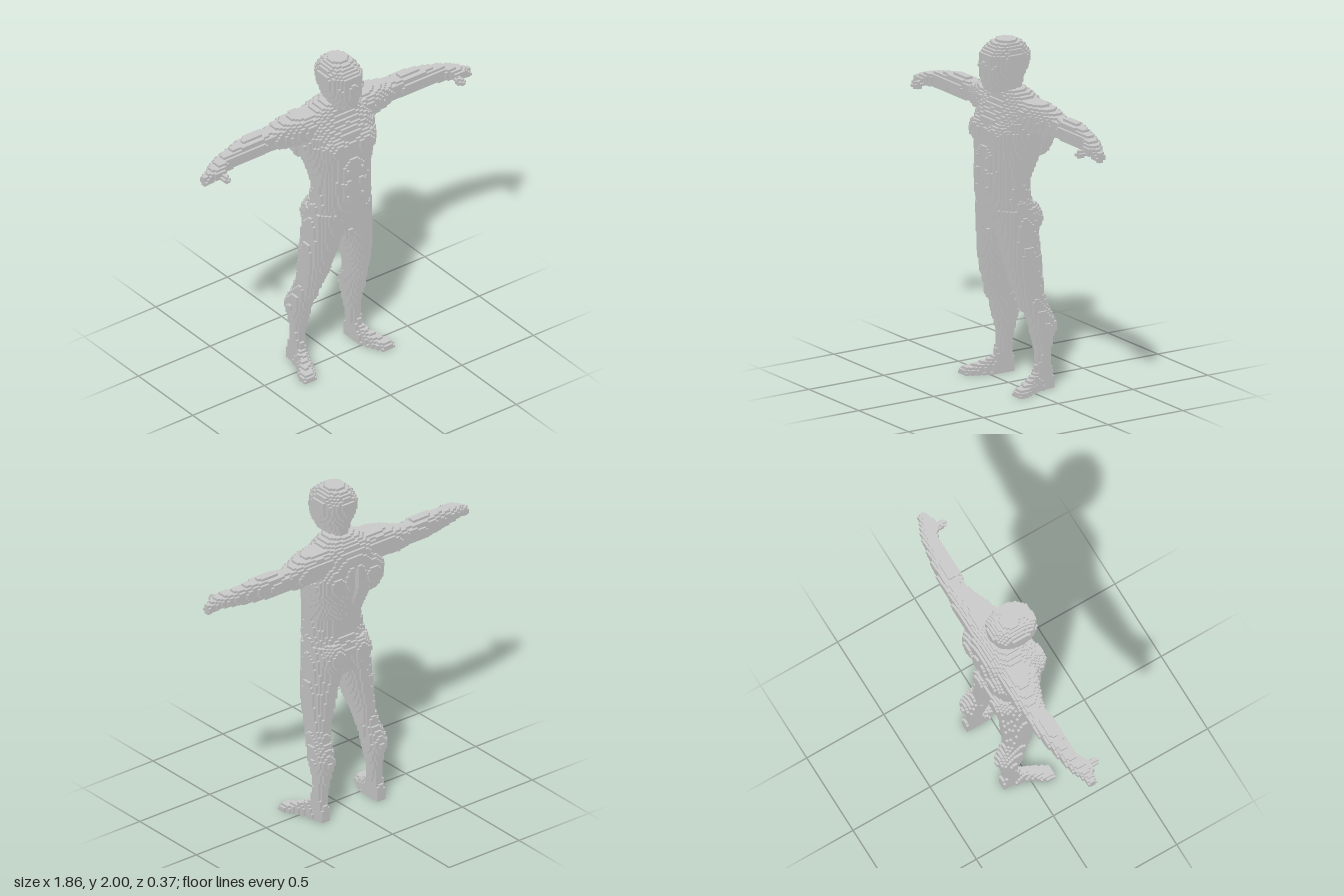
import * as THREE from 'three';

const S = 2 / 140;                 // cube size
const NX = 132, NY = 140, NZ = 28; // grid cells

// Row of a tapered body: [t, uMin, uMax, vMin, vMax], measured across its axis.
// Returns true when the point lies in the rounded section at t.
function inLoft(rows, n, t, u, v) {
  if (t < rows[0][0] || t > rows[rows.length - 1][0]) return false;
  let i = 1;
  while (rows[i][0] < t) i++;
  const a = rows[i - 1], b = rows[i], k = (t - a[0]) / (b[0] - a[0]);
  const m = (c) => a[c] + (b[c] - a[c]) * k;
  const u0 = m(1), u1 = m(2), v0 = m(3), v1 = m(4);
  const du = Math.abs(2 * u - u0 - u1) / (u1 - u0);
  const dv = Math.abs(2 * v - v0 - v1) / (v1 - v0);
  return du ** n + dv ** n <= 1;
}

const inBall = ([cx, cy, cz, rx, ry, rz], x, y, z) =>
  ((x - cx) / rx) ** 2 + ((y - cy) / ry) ** 2 + ((z - cz) / rz) ** 2 <= 1;

// Upright parts: y, x range, z range
const HEAD = [
  [1.66, -.065, .065, -.085, .065], [1.715, -.055, .055, -.075, .075],
  [1.72, -.055, .055, -.075, .15], [1.76, -.08, .08, -.075, .16],
  [1.8, -.098, .098, -.085, .168], [1.85, -.113, .113, -.108, .168],
  [1.92, -.113, .113, -.115, .162], [1.96, -.092, .092, -.09, .125],
  [1.985, -.07, .07, -.06, .09], [2, -.045, .045, -.03, .055],
];
const TORSO = [
  [.86, -.1, .1, -.1, .09], [.92, -.19, .19, -.12, .125],
  [1, -.19, .19, -.125, .14], [1.1, -.178, .178, -.09, .162],
  [1.2, -.165, .165, -.092, .175], [1.3, -.18, .18, -.135, .172],
  [1.4, -.212, .212, -.178, .165], [1.48, -.24, .24, -.185, .155],
  [1.55, -.235, .235, -.18, .14], [1.62, -.22, .22, -.165, .1],
  [1.66, -.18, .18, -.145, .078], [1.69, -.125, .125, -.115, .07],
  [1.72, -.06, .06, -.08, .065],
];
const LEG = [
  [0, .168, .228, -.15, -.02], [.1, .165, .235, -.146, -.04],
  [.2, .155, .225, -.146, -.06], [.28, .14, .232, -.16, -.045],
  [.36, .125, .252, -.182, -.025], [.42, .12, .248, -.16, -.012],
  [.48, .118, .228, -.135, .02], [.55, .105, .218, -.115, .05],
  [.65, .07, .216, -.112, .08], [.75, .042, .214, -.112, .1],
  [.85, .004, .206, -.108, .115], [.93, -.02, .2, -.115, .125],
  [1.04, -.02, .188, -.1, .14],
];
// Along x: y range, z range
const ARM = [
  [.14, 1.5, 1.675, -.14, .06], [.22, 1.5, 1.676, -.145, .055],
  [.29, 1.505, 1.665, -.145, .035], [.35, 1.5, 1.65, -.138, .01],
  [.42, 1.518, 1.625, -.132, -.01], [.5, 1.515, 1.638, -.126, -.005],
  [.6, 1.515, 1.638, -.118, -.005], [.7, 1.518, 1.622, -.095, 0],
  [.76, 1.522, 1.612, -.085, .008], [.8, 1.525, 1.6, -.075, .035],
  [.85, 1.522, 1.588, -.055, .045], [.89, 1.51, 1.568, -.035, .03],
  [.93, 1.495, 1.55, -.02, .02],
];
// Along z: x range, y range (lower half is cut off by the ground)
const FOOT = [
  [-.15, .168, .226, -.1, .1], [-.05, .168, .24, -.11, .11],
  [0, .18, .262, -.075, .075], [.06, .2, .305, -.052, .052],
  [.1, .22, .322, -.04, .04], [.135, .24, .305, -.03, .03],
];

// Muscles added to the torso: centre and radii
const BULGES = [
  [.09, 1.47, .09, .105, .085, .085],                 // chest
  [.045, 1.33, .135, .04, .035, .045], [.045, 1.25, .14, .04, .035, .045],
  [.045, 1.17, .135, .04, .035, .045],                // abdomen
  [.13, 1.47, -.1, .11, .13, .085],                   // shoulder blade
  [.085, .97, -.065, .09, .1, .083],                  // buttock
  [0, .89, .095, .035, .05, .045],                    // groin
];
// Grooves taken out of the torso
const GROOVES = [
  [0, 1.3, -.19, .022, .28, .07],                     // spine
  [0, .94, -.16, .014, .09, .05],
  [0, 1.35, .185, .01, .24, .025],                    // midline
  [.16, 1.3, .16, .025, .1, .035],                    // flank
];

const THUMB = [.818, 1.535, .06, .022, .018, .036];
const KNEE = [.17, .5, -.005, .035, .05, .045];

// Part index at a point, 0 when empty
function partAt(sx, y, z) {
  const x = Math.abs(sx), side = sx > 0 ? 0 : 1;
  if (inLoft(HEAD, 2.3, y, x, z)) return y > 1.715 ? 1 : 2;
  const groove = GROOVES.some((g) => inBall(g, x, y, z));
  if (!groove && (inLoft(TORSO, 2.3, y, x, z) || BULGES.some((b) => inBall(b, x, y, z)))) return 3;
  if (inLoft(ARM, 2.4, x, y, z)) return (x > .78 ? 6 : 4) + side;
  if (inBall(THUMB, x, y, z)) return 6 + side;
  if (inLoft(FOOT, 2.6, z, x, y)) return 10 + side;
  if (!groove && inLoft(LEG, 2.3, y, x, z)) return 8 + side;
  if (inBall(KNEE, x, y, z)) return 8 + side;
  return 0;
}

const NAMES = ['', 'head', 'neck', 'torso', 'leftArm', 'rightArm', 'leftHand', 'rightHand',
  'leftLeg', 'rightLeg', 'leftFoot', 'rightFoot'];

export function createModel() {
  const group = new THREE.Group();
  group.name = 'blockFigure';
  const material = new THREE.MeshStandardMaterial({ color: 0xcccccc, flatShading: true });

  // Fill the grid
  const size = [NX, NY, NZ];
  const index = (c) => (c[0] * NY + c[1]) * NZ + c[2];
  const grid = new Uint8Array(NX * NY * NZ);
  for (let i = 0; i < NX; i++)
    for (let j = 0; j < NY; j++)
      for (let k = 0; k < NZ; k++)
        grid[index([i, j, k])] = partAt((i + .5 - NX / 2) * S, (j + .5) * S, (k + .5 - NZ / 2) * S);
  const at = (c) => (c.some((v, a) => v < 0 || v >= size[a]) ? 0 : grid[index(c)]);

  // Emit only the exposed cube faces, sorted by part
  const data = NAMES.map(() => ({ pos: [], nor: [] }));
  const corners = [[0, 0], [1, 0], [1, 1], [0, 0], [1, 1], [0, 1]];
  for (let i = 0; i < NX; i++)
    for (let j = 0; j < NY; j++)
      for (let k = 0; k < NZ; k++) {
        const cell = [i, j, k], part = at(cell);
        if (!part) continue;
        for (let axis = 0; axis < 3; axis++)
          for (const dir of [-1, 1]) {
            const next = [...cell];
            next[axis] += dir;
            if (at(next)) continue;
            const u = (axis + 1) % 3, v = (axis + 2) % 3, n = [0, 0, 0];
            n[axis] = dir;
            for (const [a, b] of corners) {
              const p = [...cell];
              p[axis] += dir > 0 ? 1 : 0;
              p[u] += dir > 0 ? a : b;
              p[v] += dir > 0 ? b : a;
              data[part].pos.push((p[0] - NX / 2) * S, p[1] * S, (p[2] - NZ / 2) * S);
              data[part].nor.push(...n);
            }
          }
      }

  data.forEach(({ pos, nor }, part) => {
    if (!pos.length) return;
    const geometry = new THREE.BufferGeometry();
    geometry.setAttribute('position', new THREE.Float32BufferAttribute(pos, 3));
    geometry.setAttribute('normal', new THREE.Float32BufferAttribute(nor, 3));
    const mesh = new THREE.Mesh(geometry, material);
    mesh.name = NAMES[part];
    group.add(mesh);
  });
  return group;
}
